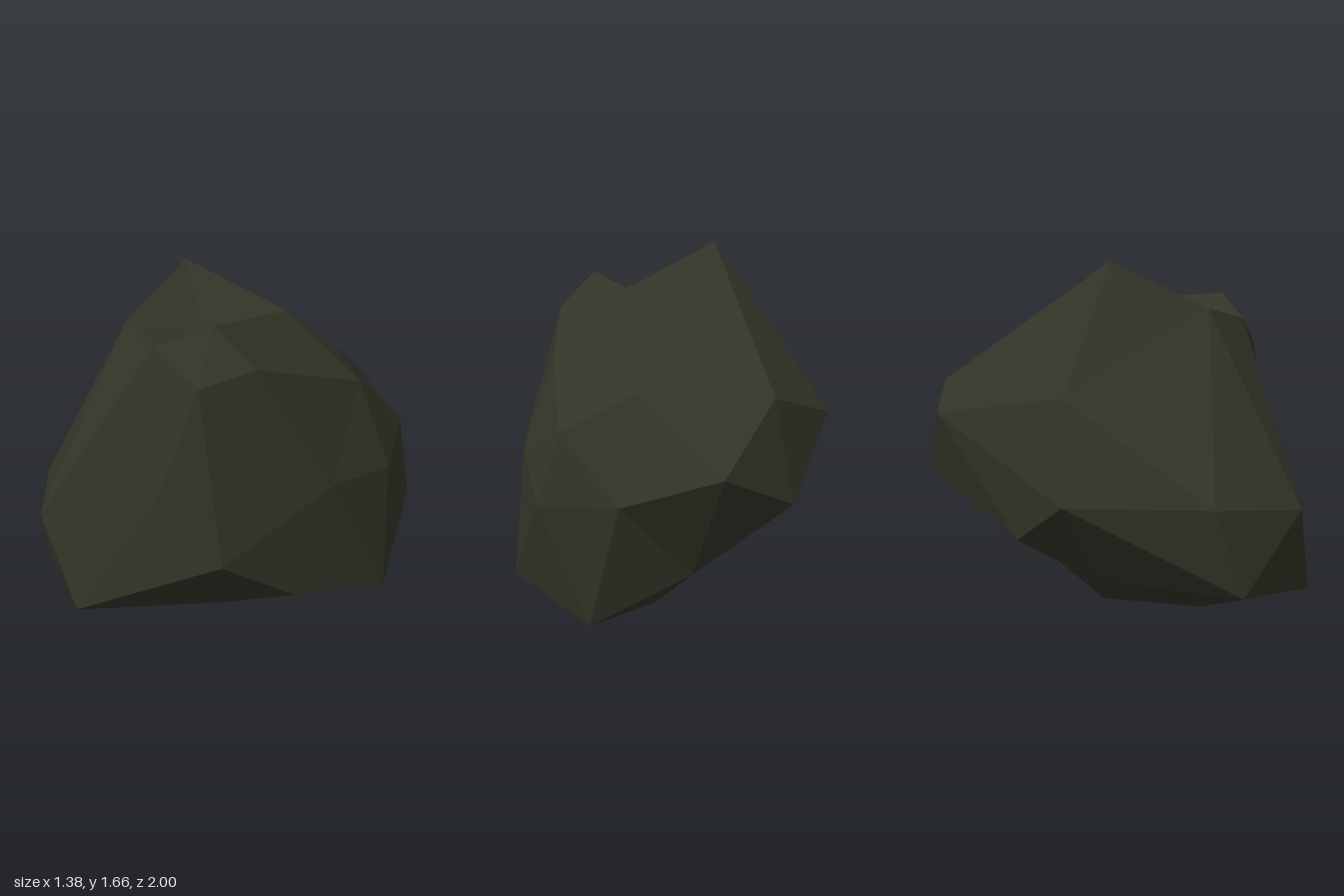
import * as THREE from 'three';
import { ConvexGeometry } from 'three/addons/geometries/ConvexGeometry.js';

// Corners of the boulder, x y z
const CORNERS = [
  // crown and its dent
  -0.295, 1.66, 0.095, -0.15, 1.46, 0.52, 0.11, 1.405, 0.55, 0.15, 1.46, -0.165,
  0.28, 1.505, 0.345, 0.455, 1.335, 0.255, 0.035, 1.38, 0.22, 0.355, 1.27, 0.485,
  // front
  -0.175, 0.63, 1, 0.03, 0.21, 0.955, -0.52, 0.67, 0.775, -0.415, 0.275, 0.86,
  0.24, 0.755, 0.635, 0.475, 0.455, 0.455,
  // -x side
  -0.69, 0.615, 0.11, -0.615, 1.08, 0.07, -0.69, 0.965, -0.62, -0.65, 0.41, -0.18,
  // back
  -0.18, 0.775, -1, -0.49, 0.63, -0.875, -0.41, 1.07, -0.835, 0.17, 1.245, -0.46,
  0.14, 1.07, -0.67, 0.23, 0.615, -0.82, -0.09, 0.28, -0.73, 0.355, 0.04, -0.69,
  // +x side
  0.49, 1.175, -0.325, 0.575, 0.575, -0.605, 0.685, 0.17, -0.36, 0.47, 0.9, -0.635,
  0.63, 0.775, -0.4, 0.625, 0.77, -0.05, 0.575, 0.24, 0.115,
  // underside
  0.24, 0.095, 0.28, -0.12, 0.065, 0.485, -0.33, 0.165, 0.03, -0.15, 0, -0.055,
  0.05, 0.03, -0.44,
];

// Wrap the corners in triangles on a near-sphere, then move each back into place,
// so that the shallow hollows survive.
function boulderGeometry() {
  const corners = [];
  for (let i = 0; i < CORNERS.length; i += 3) corners.push(new THREE.Vector3().fromArray(CORNERS, i));
  const rounded = corners.map((p) => {
    const d = new THREE.Vector3(p.x / 0.69, (p.y - 0.8) / 0.83, p.z);
    return d.setLength(Math.pow(d.length(), 0.1));
  });
  const geometry = new ConvexGeometry(rounded);
  const position = geometry.attributes.position;
  const v = new THREE.Vector3();
  for (let i = 0; i < position.count; i++) {
    v.fromBufferAttribute(position, i);
    let best = 0;
    rounded.forEach((r, k) => {
      if (r.distanceToSquared(v) < rounded[best].distanceToSquared(v)) best = k;
    });
    position.setXYZ(i, corners[best].x, corners[best].y, corners[best].z);
  }
  geometry.computeVertexNormals();
  return geometry;
}

export function createModel() {
  const stone = new THREE.MeshStandardMaterial({ color: 0x343327 });
  stone.name = 'dark stone';
  stone.flatShading = true;

  const boulder = new THREE.Mesh(boulderGeometry(), stone);
  boulder.name = 'boulder';

  const group = new THREE.Group();
  group.name = 'rock';
  group.add(boulder);
  return group;
}
